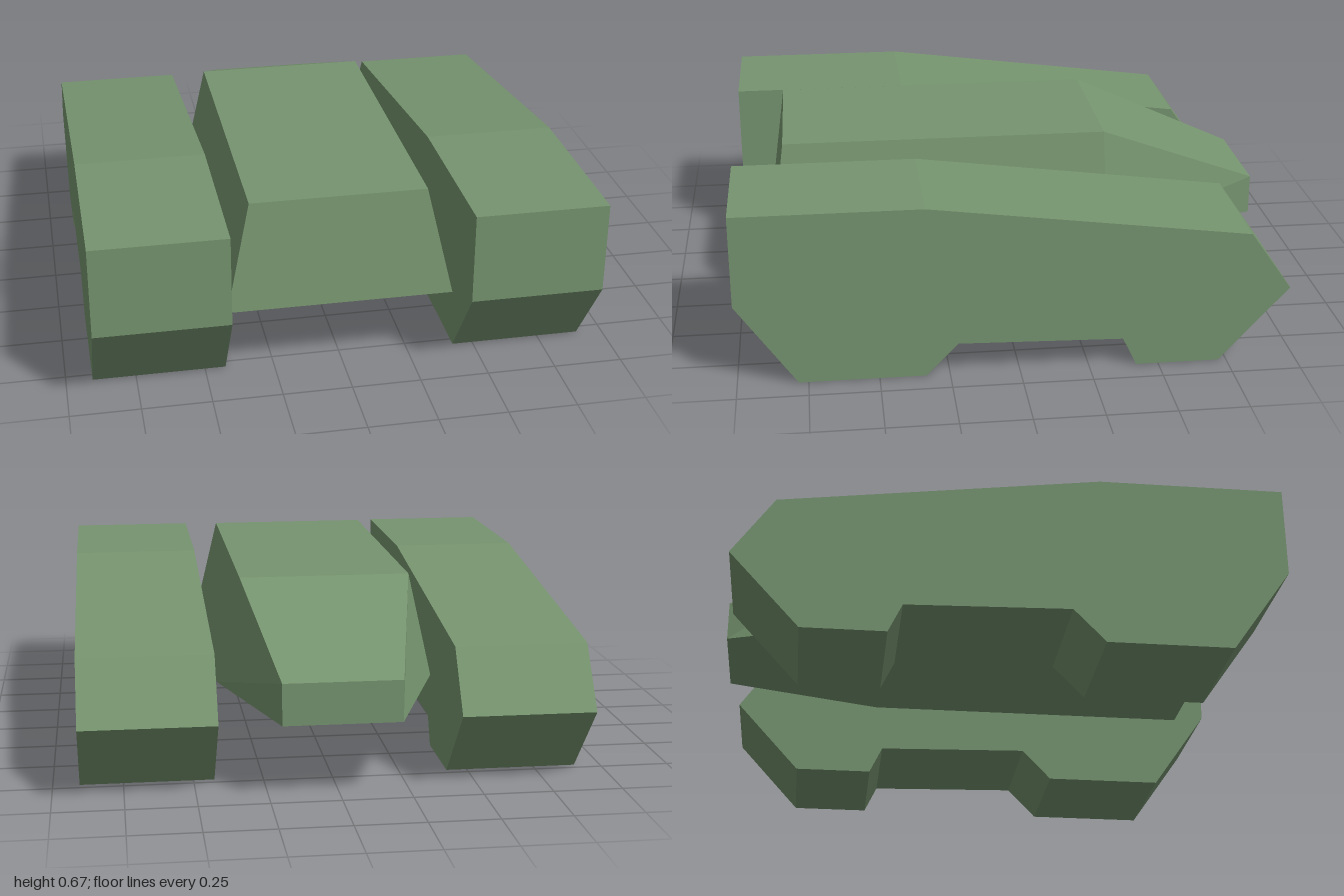
import * as THREE from 'three';

const hullGreen = new THREE.MeshStandardMaterial({ color: 0x76946f });
hullGreen.name = 'hullGreen';

// Side pod outline as [z, y], extruded across x
const podProfile = [
  [1, 0.64], [0.33, 0.64], [-0.82, 0.49], [-0.97, 0.275], [-0.72, 0], [-0.42, 0],
  [-0.37, 0.105], [0.22, 0.12], [0.335, 0], [0.785, 0], [1, 0.305],
];

function makePod(name, centreX) {
  const width = 0.48;
  const shape = new THREE.Shape(podProfile.map(([z, y]) => new THREE.Vector2(z, y)));
  const geometry = new THREE.ExtrudeGeometry(shape, { depth: width, bevelEnabled: false });
  geometry.rotateY(-Math.PI / 2);
  geometry.translate(centreX + width / 2, 0, 0);
  const pod = new THREE.Mesh(geometry, hullGreen);
  pod.name = name;
  return pod;
}

// Four-cornered section: bottom left, bottom right, top right, top left seen from the front
function section(bottom, top) {
  return [
    [bottom.x0, bottom.y, bottom.z], [bottom.x1, bottom.y, bottom.z],
    [top.x1, top.y, top.z], [top.x0, top.y, top.z],
  ];
}

// Skin the sections from front to back and cap both ends
function loft(sections) {
  const positions = [];
  const quad = (a, b, c, d) => [a, b, c, a, c, d].forEach((p) => positions.push(...p));
  quad(...sections[0]);
  for (let s = 0; s < sections.length - 1; s++) {
    const near = sections[s], far = sections[s + 1];
    for (let i = 0; i < 4; i++) {
      const j = (i + 1) % 4;
      quad(near[i], far[i], far[j], near[j]);
    }
  }
  quad(...[...sections[sections.length - 1]].reverse());
  const geometry = new THREE.BufferGeometry();
  geometry.setAttribute('position', new THREE.Float32BufferAttribute(positions, 3));
  geometry.computeVertexNormals();
  return geometry;
}

export function createModel() {
  const model = new THREE.Group();
  model.name = 'vehicle';

  // Central body: sloped front, straight middle, tapered rear
  const body = new THREE.Mesh(loft([
    section({ x0: -0.425, x1: 0.39, y: 0.275, z: 0.87 }, { x0: -0.335, x1: 0.3, y: 0.67, z: 0.815 }),
    section({ x0: -0.425, x1: 0.39, y: 0.275, z: -0.4 }, { x0: -0.335, x1: 0.3, y: 0.67, z: -0.395 }),
    section({ x0: -0.21, x1: 0.21, y: 0.275, z: -1 }, { x0: -0.21, x1: 0.21, y: 0.425, z: -1 }),
  ]), hullGreen);
  body.name = 'centralBody';
  model.add(body);

  // Track pods on both sides
  model.add(makePod('leftTrackPod', 0.665), makePod('rightTrackPod', -0.665));
  return model;
}
